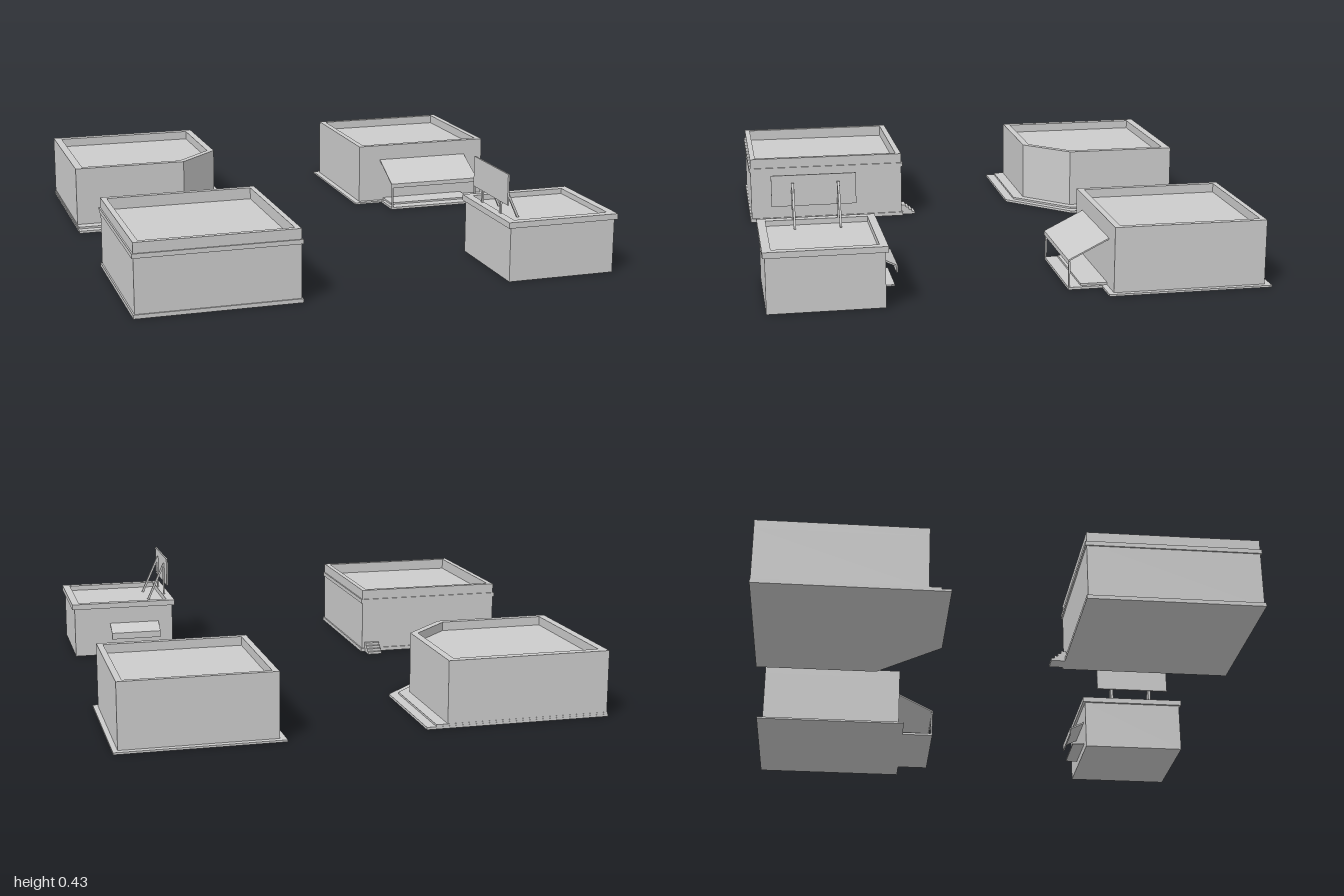
import * as THREE from 'three';

const grey = new THREE.MeshStandardMaterial({ color: 0xcccccc, flatShading: true });

function add(parent, name, geometry) {
  const mesh = new THREE.Mesh(geometry, grey);
  mesh.name = name;
  parent.add(mesh);
  return mesh;
}

// Box given by its limits on each axis
function box(parent, name, x0, x1, y0, y1, z0, z1) {
  const g = new THREE.BoxGeometry(x1 - x0, y1 - y0, z1 - z0);
  g.translate((x0 + x1) / 2, (y0 + y1) / 2, (z0 + z1) / 2);
  return add(parent, name, g);
}

// Plan outlines are lists of [x, z]
const rect = (x0, x1, z0, z1) => [[x0, z1], [x1, z1], [x1, z0], [x0, z0]];
const toPoints = (plan) => plan.map(([x, z]) => new THREE.Vector2(x, -z));

// Upright prism over a plan, with an optional opening
function slab(parent, name, plan, y0, y1, opening) {
  const shape = new THREE.Shape(toPoints(plan));
  if (opening) shape.holes.push(new THREE.Path(toPoints(opening)));
  const g = new THREE.ExtrudeGeometry(shape, { depth: y1 - y0, bevelEnabled: false });
  g.rotateX(-Math.PI / 2).translate(0, y0, 0);
  return add(parent, name, g);
}

// Solid prism with a [z, y] side profile, running from x0 to x1
function sideProfile(parent, name, points, x0, x1) {
  const shape = new THREE.Shape(points.map(([z, y]) => new THREE.Vector2(-z, y)));
  const g = new THREE.ExtrudeGeometry(shape, { depth: x1 - x0, bevelEnabled: false });
  g.rotateY(Math.PI / 2).translate(x0, 0, 0);
  return add(parent, name, g);
}

// Square bar between two points
function bar(parent, name, from, to, size) {
  const a = new THREE.Vector3(...from), b = new THREE.Vector3(...to);
  const mesh = add(parent, name, new THREE.BoxGeometry(size, size, a.distanceTo(b)));
  mesh.position.copy(a).add(b).multiplyScalar(0.5);
  mesh.lookAt(b);
  return mesh;
}

function section(parent, name) {
  const g = new THREE.Group();
  g.name = name;
  parent.add(g);
  return g;
}

// Corner building with a cut corner and stepped pavement
function cornerBuilding(parent) {
  const b = section(parent, 'cornerBuilding');
  const plan = (x0, x1, z0, z1, cutX, cutZ) =>
    [[x0, z1], [cutX, z1], [x1, cutZ], [x1, z0], [x0, z0]];
  const outer = plan(-0.995, -0.322, -0.98, -0.308, -0.507, -0.493);
  const inner = plan(-0.962, -0.352, -0.945, -0.337, -0.518, -0.503);
  slab(b, 'pavement', plan(-1, -0.236, -0.982, -0.222, -0.495, -0.481), 0, 0.01);
  slab(b, 'pavementStep', plan(-0.997, -0.275, -0.981, -0.261, -0.5, -0.487), 0.01, 0.018);
  slab(b, 'walls', outer, 0.01, 0.235);
  slab(b, 'parapet', outer, 0.235, 0.272, inner);
}

// Building with a porch at the front
function porchBuilding(parent) {
  const b = section(parent, 'porchBuilding');
  const outer = rect(0.35, 0.97, -0.975, -0.358);
  slab(b, 'basePlate', rect(0.325, 0.99, -1, -0.335), 0, 0.008);
  slab(b, 'walls', outer, 0.008, 0.235);
  slab(b, 'parapet', outer, 0.235, 0.272, rect(0.375, 0.945, -0.953, -0.385));
  box(b, 'porchFloor', 0.455, 0.88, 0, 0.01, -0.335, -0.197);
  box(b, 'porchStep', 0.47, 0.865, 0.008, 0.018, -0.358, -0.25);
  sideProfile(b, 'awning',
    [[-0.358, 0.204], [-0.358, 0.198], [-0.2, 0.119], [-0.2, 0.104], [-0.195, 0.104], [-0.195, 0.123]],
    0.453, 0.88);
  for (const x of [0.46, 0.873]) bar(b, 'porchPost', [x, 0.01, -0.201], [x, 0.115, -0.201], 0.007);
}

// Building with trim bands and back steps
function bandedBuilding(parent) {
  const b = section(parent, 'bandedBuilding');
  const outer = rect(-0.99, -0.345, 0.3, 0.988);
  const band = rect(-0.996, -0.339, 0.294, 0.994);
  slab(b, 'walls', outer, 0, 0.245);
  slab(b, 'parapet', outer, 0.245, 0.292, rect(-0.967, -0.367, 0.325, 0.965));
  slab(b, 'baseBand', band, 0, 0.016, outer);
  slab(b, 'upperBand', band, 0.232, 0.25, outer);
  for (let i = 0; i < 4; i++) {
    box(b, 'step', -0.422, -0.357, i * 0.011, (i + 1) * 0.011, 0.237 + i * 0.014, 0.3);
  }
}

// Kiosk with a roof sign and a serving hatch at the back
function kiosk(parent) {
  const b = section(parent, 'kiosk');
  const rim = rect(0.503, 0.978, 0.523, 0.997);
  slab(b, 'walls', rect(0.514, 0.967, 0.534, 0.988), 0, 0.222);
  slab(b, 'roofRim', rim, 0.222, 0.246, rect(0.538, 0.945, 0.555, 0.963));
  box(b, 'roof', 0.538, 0.945, 0.215, 0.224, 0.555, 0.963);
  box(b, 'servingShelf', 0.58, 0.805, 0.032, 0.038, 0.48, 0.534);
  sideProfile(b, 'hatchAwning',
    [[0.534, 0.148], [0.468, 0.115], [0.468, 0.086], [0.474, 0.086], [0.474, 0.111], [0.534, 0.14]].reverse(),
    0.58, 0.805);
  box(b, 'signBoard', 0.52, 0.527, 0.3, 0.426, 0.597, 0.935);
  for (const z of [0.668, 0.85]) {
    box(b, 'signPost', 0.527, 0.534, 0.224, 0.395, z - 0.006, z + 0.006);
    bar(b, 'signBrace', [0.53, 0.39, z], [0.606, 0.224, z], 0.009);
  }
}

export function createModel() {
  const model = new THREE.Group();
  model.name = 'buildings';
  cornerBuilding(model);
  porchBuilding(model);
  bandedBuilding(model);
  kiosk(model);
  return model;
}
